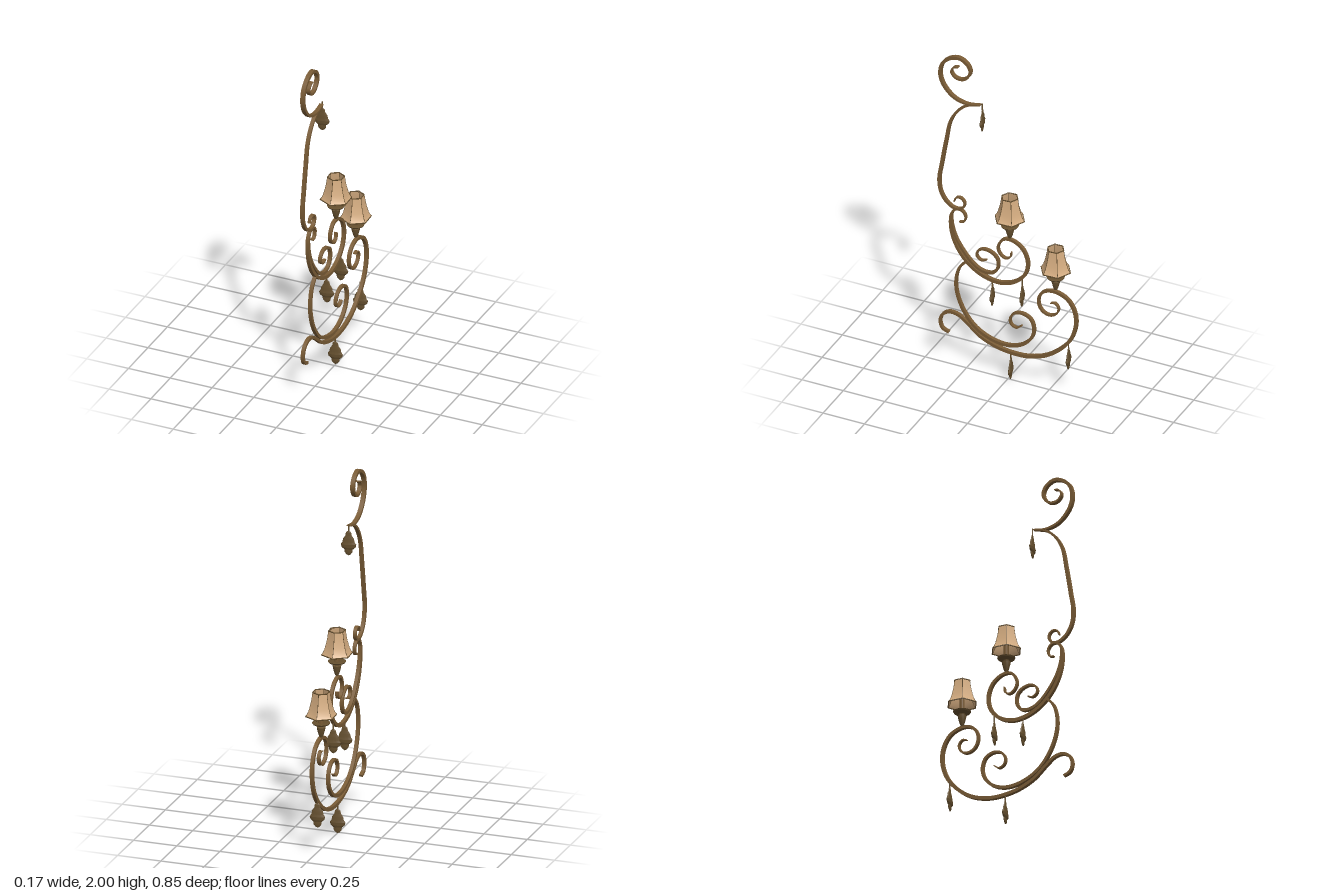
import * as THREE from 'three';
import { toCreasedNormals } from 'three/addons/utils/BufferGeometryUtils.js';

const brass = new THREE.MeshStandardMaterial({ color: 0x7a5c36 });
brass.name = 'aged brass';
const darkBrass = new THREE.MeshStandardMaterial({ color: 0x66502f });
darkBrass.name = 'dark brass';
const fabric = new THREE.MeshStandardMaterial({ color: 0xd4ac80, side: THREE.DoubleSide });
fabric.name = 'tan shade';

function add(parent, name, geometry, material) {
  const mesh = new THREE.Mesh(geometry, material);
  mesh.name = name;
  parent.add(mesh);
  return mesh;
}

const lathe = (pts, sides, crease = 0.6) =>
  toCreasedNormals(new THREE.LatheGeometry(pts.map(([r, y]) => new THREE.Vector2(r, y)), sides), crease);

// Flat iron band swept along [z, y] points, thinning toward both ends
function band(points, { width = 0.02, start = 0.006, mid = 0.02, end = 0.005 } = {}) {
  const curve = new THREE.CatmullRomCurve3(points.map(([z, y]) => new THREE.Vector3(0, y, z)), false, 'centripetal');
  const steps = points.length * 7;
  const pos = [], idx = [];
  for (let i = 0; i <= steps; i++) {
    const t = i / steps;
    const p = curve.getPointAt(t), d = curve.getTangentAt(t);
    const edge = THREE.MathUtils.lerp(start, end, t);
    const h = (edge + (mid - edge) * Math.pow(Math.sin(Math.PI * t), 0.7)) / 2;
    for (const [sx, sn] of [[1, 1], [-1, 1], [-1, -1], [1, -1]])
      pos.push(sx * width / 2, p.y + sn * h * d.z, p.z - sn * h * d.y);
  }
  for (let i = 0; i < steps; i++) {
    for (let j = 0; j < 4; j++) {
      const a = i * 4 + j, b = i * 4 + (j + 1) % 4;
      idx.push(a, b, b + 4, a, b + 4, a + 4);
    }
  }
  const e = steps * 4;
  idx.push(0, 3, 2, 0, 2, 1, e, e + 1, e + 2, e, e + 2, e + 3);
  const g = new THREE.BufferGeometry();
  g.setAttribute('position', new THREE.Float32BufferAttribute(pos, 3));
  g.setIndex(idx);
  return toCreasedNormals(g, 0.7);
}

// Candle cup with a six-sided flared shade
function lamp(name) {
  const g = new THREE.Group();
  g.name = name;
  add(g, 'candleCup', lathe([[0, 0], [0.008, 0.002], [0.014, 0.015], [0.022, 0.045], [0.024, 0.06],
    [0.016, 0.064], [0.018, 0.07], [0.045, 0.077], [0.05, 0.085], [0.045, 0.087], [0.014, 0.083]], 16), darkBrass);
  add(g, 'candle', lathe([[0.014, 0.08], [0.014, 0.165], [0.008, 0.17], [0, 0.17]], 12), brass);
  const profile = [[0.086, 0.127], [0.075, 0.143], [0.064, 0.175], [0.053, 0.22], [0.047, 0.263]];
  add(g, 'shade', lathe(profile, 6, 0.5), fabric);
  for (const [r, y] of [profile[0], profile[4]]) {
    const rim = new THREE.TorusGeometry(r, 0.0035, 5, 6);
    rim.rotateX(Math.PI / 2).rotateY(Math.PI / 6).translate(0, y, 0);
    add(g, 'shadeRim', rim, darkBrass);
  }
  const ribCurve = new THREE.CatmullRomCurve3(profile.map(([r, y]) => new THREE.Vector3(0, y, r)));
  const rib = new THREE.TubeGeometry(ribCurve, 10, 0.0018, 5);
  for (let i = 0; i < 6; i++) add(g, 'shadeRib', rib, darkBrass).rotation.y = i * Math.PI / 3;
  g.rotation.y = 0.05;
  return g;
}

// Flattened leaf-shaped drop on a thin link
function pendant() {
  const g = new THREE.Group();
  g.name = 'pendant';
  const leaf = lathe([[0, -0.177], [0.012, -0.17], [0.022, -0.157], [0.023, -0.142], [0.038, -0.13],
    [0.043, -0.113], [0.034, -0.1], [0.03, -0.08], [0.018, -0.062], [0.015, -0.045], [0.006, -0.035], [0, -0.033]], 12);
  leaf.scale(1, 1, 0.25);
  add(g, 'leafDrop', leaf, darkBrass);
  add(g, 'link', new THREE.CylinderGeometry(0.004, 0.004, 0.04, 8).translate(0, -0.018, 0), darkBrass);
  g.rotation.y = 0.17;
  return g;
}

export function createModel() {
  const model = new THREE.Group();
  model.name = 'wallSconce';

  // Scrollwork, all points as [z, y]
  add(model, 'topScroll', band([[0.164, 1.722], [0.243, 1.709], [0.323, 1.73], [0.386, 1.794], [0.407, 1.862],
    [0.392, 1.931], [0.344, 1.976], [0.291, 1.989], [0.243, 1.963], [0.225, 1.92], [0.243, 1.878], [0.275, 1.857],
    [0.317, 1.862], [0.339, 1.894], [0.323, 1.923], [0.296, 1.931]], { width: 0.024, mid: 0.018 }), brass);

  add(model, 'stem', band([[0.164, 1.722], [0.243, 1.698], [0.302, 1.646], [0.344, 1.571], [0.37, 1.444],
    [0.397, 1.286], [0.413, 1.18], [0.402, 1.1], [0.365, 1.042], [0.317, 1.016], [0.275, 1.026], [0.259, 1.063],
    [0.28, 1.09], [0.312, 1.085], [0.323, 1.058]], { mid: 0.019 }), brass);

  add(model, 'upperArm', band([[0.291, 0.937], [0.265, 0.942], [0.254, 0.979], [0.275, 1.011], [0.312, 1.011],
    [0.339, 0.974], [0.344, 0.899], [0.323, 0.81], [0.275, 0.725], [0.201, 0.656], [0.116, 0.619], [0.032, 0.614],
    [-0.048, 0.646], [-0.106, 0.709], [-0.122, 0.783], [-0.101, 0.852], [-0.063, 0.889], [-0.021, 0.905],
    [0.021, 0.899], [0.048, 0.868], [0.058, 0.831], [0.042, 0.794], [0.011, 0.778], [-0.016, 0.794],
    [-0.021, 0.825]]), brass);

  add(model, 'upperInnerScroll', band([[0.339, 0.98], [0.333, 0.9], [0.307, 0.82], [0.243, 0.725], [0.18, 0.67],
    [0.127, 0.656], [0.085, 0.667], [0.058, 0.709], [0.063, 0.762], [0.101, 0.794], [0.148, 0.799], [0.18, 0.778],
    [0.185, 0.746], [0.159, 0.725], [0.127, 0.735]], { mid: 0.016 }), brass);

  add(model, 'lowerInnerScroll', band([[0.243, 0.698], [0.291, 0.64], [0.312, 0.55], [0.302, 0.46], [0.259, 0.36],
    [0.19, 0.28], [0.095, 0.233], [0, 0.222], [-0.085, 0.249], [-0.143, 0.307], [-0.159, 0.37], [-0.138, 0.429],
    [-0.09, 0.45], [-0.042, 0.439], [-0.016, 0.402], [-0.021, 0.365], [-0.053, 0.349], [-0.085, 0.37]],
    { start: 0.012, mid: 0.018 }), brass);

  add(model, 'lowerArm', band([[0.354, 0.206], [0.392, 0.222], [0.407, 0.265], [0.392, 0.312], [0.349, 0.339],
    [0.296, 0.333], [0.243, 0.296], [0.164, 0.233], [0.074, 0.196], [-0.021, 0.18], [-0.127, 0.185],
    [-0.233, 0.222], [-0.328, 0.296], [-0.386, 0.376], [-0.413, 0.476], [-0.402, 0.556], [-0.365, 0.614],
    [-0.317, 0.64], [-0.27, 0.646], [-0.222, 0.63], [-0.19, 0.587], [-0.19, 0.534], [-0.217, 0.497],
    [-0.259, 0.487], [-0.296, 0.508], [-0.307, 0.545], [-0.286, 0.571], [-0.259, 0.566]], { start: 0.014 }), brass);

  // Lamps on the arm crests
  const upper = lamp('upperLamp');
  upper.position.set(0.003, 0.915, -0.013);
  const lower = lamp('lowerLamp');
  lower.position.set(-0.006, 0.655, -0.286);
  model.add(upper, lower);

  // Hanging drops, [y, z] of each hook
  for (const [y, z] of [[1.73, 0.155], [0.622, 0.095], [0.667, -0.085], [0.18, -0.016], [0.335, -0.36]]) {
    const p = pendant();
    p.position.set(z < -0.3 ? -0.012 : -0.002, y, z);
    model.add(p);
  }
  return model;
}
